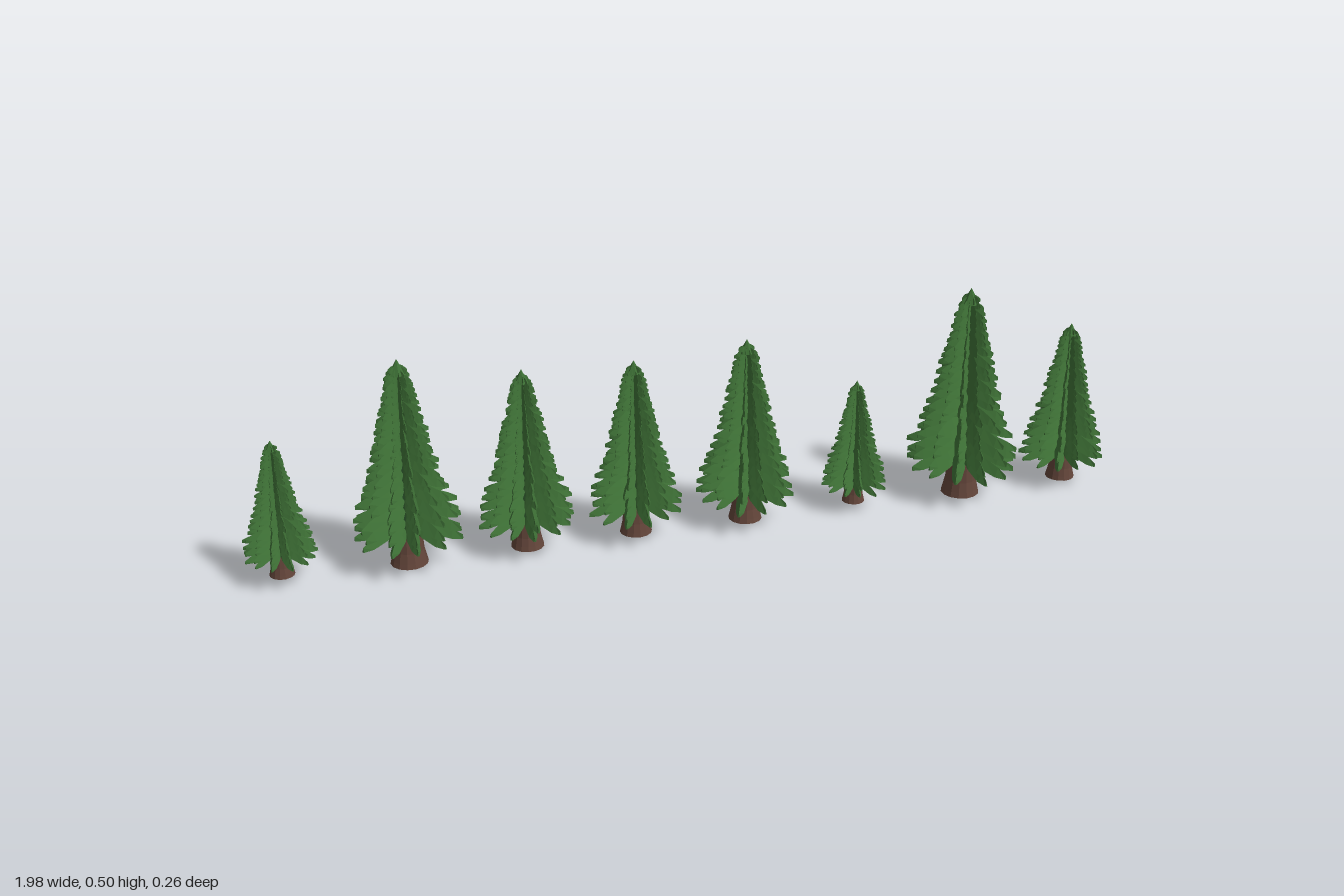
import * as THREE from 'three';
import { mergeGeometries } from 'three/addons/utils/BufferGeometryUtils.js';

// Repeatable jitter in the range -1..1
let seed = 7;
function jitter() {
  seed = (seed * 16807) % 2147483647;
  return (seed / 2147483647) * 2 - 1;
}

// Foliage radius by height of the branch tips
const outline = [[0.07, 0.131], [0.12, 0.129], [0.16, 0.112], [0.2, 0.096], [0.25, 0.081],
  [0.3, 0.07], [0.35, 0.057], [0.4, 0.043], [0.45, 0.033], [0.48, 0.018]];
function radiusAt(y) {
  for (let i = 1; i < outline.length; i++) {
    const [y0, r0] = outline[i - 1], [y1, r1] = outline[i];
    if (y <= y1) return r0 + ((r1 - r0) * (y - y0)) / (y1 - y0);
  }
  return outline[outline.length - 1][1];
}

// One drooping bough along +x: a ridged blade with a triangular section
function boughGeometry(reach, tipY, depth) {
  const droop = 0.26 * reach;
  // [position along the bough, half width, height of the ridge, fall]
  const stations = [[0.05, 0.045, 1, 0], [0.5, 0.115, 1, 0.4], [0.82, 0.085, 0.8, 0.8], [1, 0.022, 0.4, 1]];
  const positions = [], indices = [];
  for (const [t, w, h, fall] of stations) {
    const x = reach * t, y = tipY + droop * (1 - fall);
    positions.push(x, y + depth * h * 0.6, 0);
    positions.push(x, y - depth * h * 0.4, reach * w);
    positions.push(x, y - depth * h * 0.4, -reach * w);
  }
  for (let i = 0; i < stations.length - 1; i++) {
    for (let j = 0; j < 3; j++) {
      const a = i * 3 + j, b = i * 3 + ((j + 1) % 3);
      indices.push(a, b, b + 3, a, b + 3, a + 3);
    }
  }
  const e = (stations.length - 1) * 3;
  indices.push(e, e + 1, e + 2);
  const g = new THREE.BufferGeometry();
  g.setAttribute('position', new THREE.Float32BufferAttribute(positions, 3));
  g.setIndex(indices);
  g.computeVertexNormals();
  return g;
}

// Tiers of boughs stacked in twelve columns
function foliageGeometry() {
  const tiers = 20, columns = 12, parts = [];
  for (let k = 0; k < tiers; k++) {
    const u = k / (tiers - 1);
    const y = 0.072 + 0.396 * (1.3 * u - 0.3 * u * u);
    const depth = 0.026 - 0.011 * u;
    for (let c = 0; c < columns; c++) {
      const tipY = y + jitter() * 0.006;
      const reach = radiusAt(Math.max(tipY, 0.07)) * (0.95 + 0.05 * jitter());
      const bough = boughGeometry(reach, tipY, depth);
      bough.rotateY((c / columns) * Math.PI * 2 + jitter() * 0.05);
      parts.push(bough);
    }
  }
  return mergeGeometries(parts);
}

// Flared trunk with alternating root ridges
function trunkGeometry() {
  const profile = [[0, 0], [0.044, 0], [0.041, 0.012], [0.036, 0.035], [0.033, 0.075], [0.022, 0.11], [0, 0.11]];
  const g = new THREE.LatheGeometry(profile.map(([x, y]) => new THREE.Vector2(x, y)), 14);
  const p = g.attributes.position;
  for (let i = 0; i < p.count; i++) {
    const angle = Math.atan2(p.getZ(i), p.getX(i));
    const flare = Math.max(0, 1 - p.getY(i) / 0.05);
    const s = 1 + 0.09 * flare * Math.cos(angle * 7);
    p.setX(i, p.getX(i) * s);
    p.setZ(i, p.getZ(i) * s);
  }
  g.computeVertexNormals();
  return g;
}

export function createModel() {
  const green = new THREE.MeshStandardMaterial({ color: 0x3d6f35, flatShading: true });
  const darkGreen = new THREE.MeshStandardMaterial({ color: 0x264a25, flatShading: true });
  const brown = new THREE.MeshStandardMaterial({ color: 0x63453a, flatShading: true });

  const foliage = foliageGeometry();
  const trunk = trunkGeometry();
  const core = new THREE.ConeGeometry(0.036, 0.39, 12).translate(0, 0.275, 0);
  const crown = new THREE.ConeGeometry(0.02, 0.036, 6).translate(0, 0.482, 0);

  // Row of trees: [x, scale, turn]
  const trees = [[-0.915, 0.62, 0.2], [-0.645, 0.94, 1.1], [-0.385, 0.83, 2.1], [-0.14, 0.815, 3.2],
    [0.115, 0.86, 4.3], [0.375, 0.59, 5.1], [0.64, 1, 0], [0.895, 0.765, 2.6]];

  const row = new THREE.Group();
  row.name = 'treeRow';
  trees.forEach(([x, scale, turn], i) => {
    const tree = new THREE.Group();
    tree.name = `tree${i + 1}`;
    const add = (name, geometry, material) => {
      const mesh = new THREE.Mesh(geometry, material);
      mesh.name = name;
      tree.add(mesh);
    };
    add('trunk', trunk, brown);
    add('innerFoliage', core, darkGreen);
    add('boughs', foliage, green);
    add('crown', crown, green);
    tree.position.set(x, (1 - scale) * 0.03, 0);
    tree.scale.setScalar(scale);
    tree.rotation.y = turn;
    row.add(tree);
  });
  return row;
}
